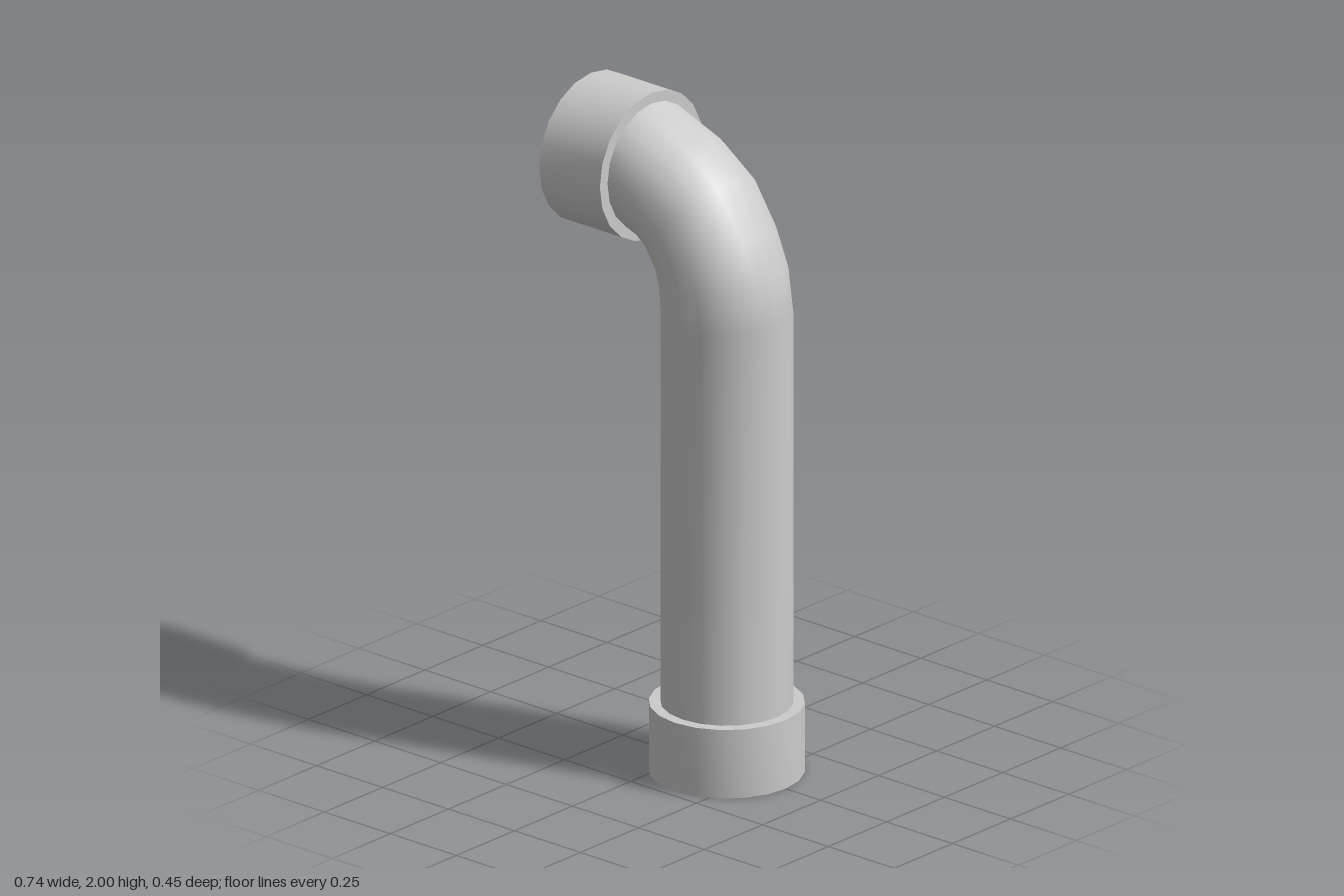
import * as THREE from 'three';
import { toCreasedNormals } from 'three/addons/utils/BufferGeometryUtils.js';

const SIDES = 20;
const PIPE_R = 0.19;
const COLLAR_R = 0.223;

// Hollow collar: a closed rectangular profile turned around y
function makeCollar(name, height, material) {
  const profile = [
    [COLLAR_R, 0], [COLLAR_R, height], [PIPE_R - 0.002, height], [PIPE_R - 0.002, 0], [COLLAR_R, 0],
  ].map(([r, y]) => new THREE.Vector2(r, y));
  const mesh = new THREE.Mesh(toCreasedNormals(new THREE.LatheGeometry(profile, SIDES), 0.6), material);
  mesh.name = name;
  return mesh;
}

// Open tube through rings, each spanning an outer and an inner bend point
function makePipe(outer, inner) {
  const positions = [];
  const indices = [];
  outer.forEach(([ox, oy], j) => {
    const [ix, iy] = inner[j];
    for (let i = 0; i < SIDES; i++) {
      const a = (i / SIDES) * Math.PI * 2;
      const c = Math.cos(a) / 2;
      positions.push(
        (ox + ix) / 2 + (ox - ix) * c,
        (oy + iy) / 2 + (oy - iy) * c,
        PIPE_R * Math.sin(a)
      );
      if (j === 0) continue;
      const n = (i + 1) % SIDES;
      const low = (j - 1) * SIDES;
      const high = j * SIDES;
      indices.push(low + i, high + i, low + n, low + n, high + i, high + n);
    }
  });
  const geometry = new THREE.BufferGeometry();
  geometry.setAttribute('position', new THREE.Float32BufferAttribute(positions, 3));
  geometry.setIndex(indices);
  geometry.computeVertexNormals();
  return geometry;
}

export function createModel() {
  const group = new THREE.Group();
  group.name = 'bentPipe';
  const grey = new THREE.MeshStandardMaterial({ color: 0xcccccc });
  const greyOpen = new THREE.MeshStandardMaterial({ color: 0xcccccc, side: THREE.DoubleSide });

  // Straight riser and elbow
  const outer = [
    [0.335, 0.2], [0.335, 1.41], [0.316, 1.542], [0.262, 1.665],
    [0.167, 1.808], [0.034, 1.9], [-0.14, 1.967], [-0.15, 1.967],
  ];
  const inner = [
    [-0.045, 0.2], [-0.045, 1.41], [-0.048, 1.47], [-0.058, 1.515],
    [-0.078, 1.55], [-0.105, 1.575], [-0.14, 1.587], [-0.15, 1.587],
  ];
  const pipe = new THREE.Mesh(makePipe(outer, inner), greyOpen);
  pipe.name = 'pipe';
  group.add(pipe);

  // Collar at the foot
  const footCollar = makeCollar('footCollar', 0.21, grey);
  footCollar.position.x = 0.145;
  group.add(footCollar);

  // Collar at the sideways outlet
  const outletCollar = makeCollar('outletCollar', 0.23, grey);
  outletCollar.position.set(-0.14, 1.777, 0);
  outletCollar.rotation.z = Math.PI / 2;
  group.add(outletCollar);

  return group;
}
